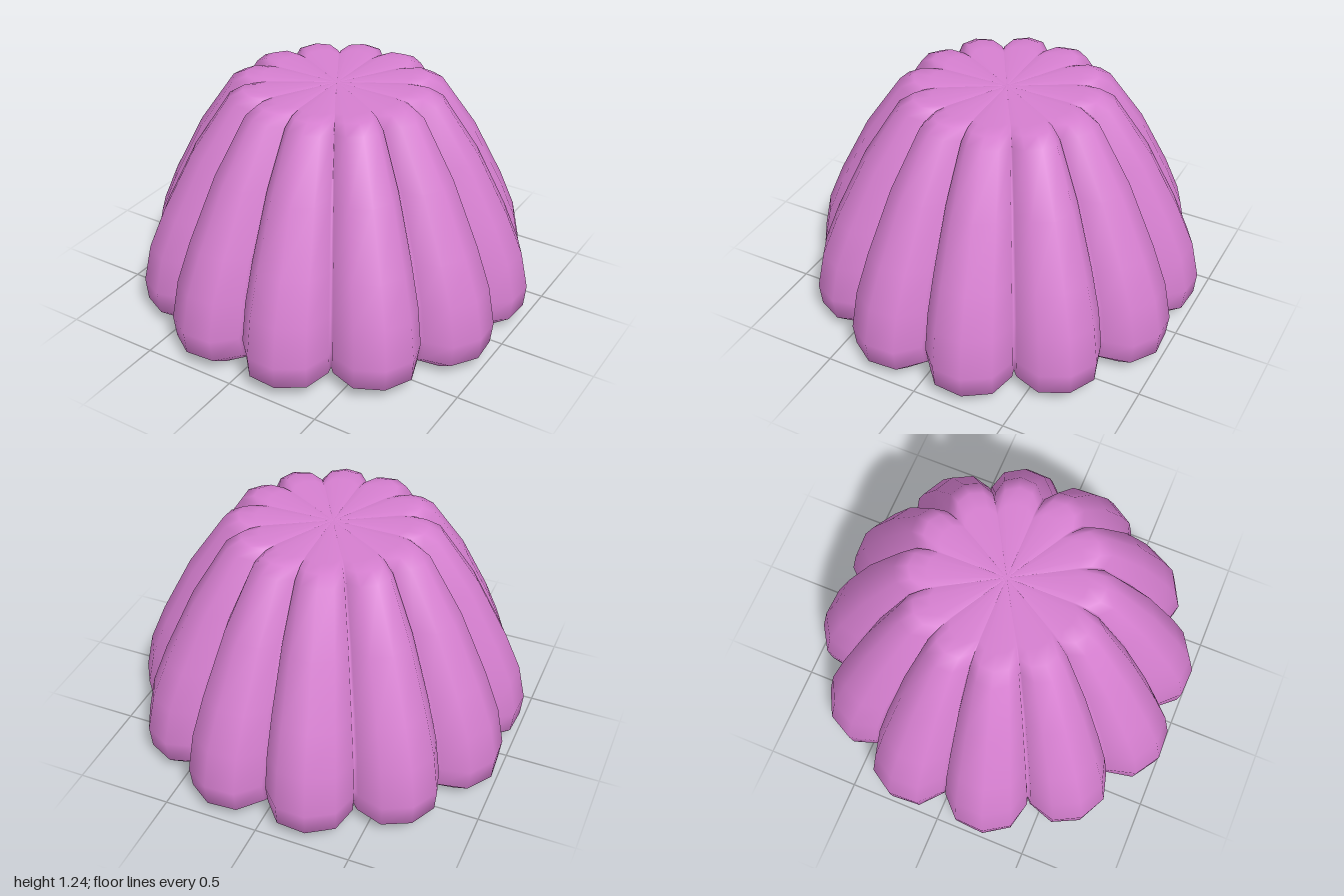
import * as THREE from 'three';

const LOBES = 12;

// Profile rows from underside to top: [ridge radius, ridge y, groove radius, groove y]
const PROFILE = [
  [0, 0.03, 0, 0.03],
  [0.45, 0.02, 0.42, 0.03],
  [0.74, 0.0, 0.62, 0.03],
  [0.93, 0.02, 0.75, 0.035],
  [1.025, 0.08, 0.82, 0.08],
  [1.036, 0.2, 0.85, 0.2],
  [0.994, 0.4, 0.815, 0.4],
  [0.908, 0.605, 0.745, 0.605],
  [0.745, 0.925, 0.61, 0.925],
  [0.554, 1.205, 0.455, 1.18],
  [0.48, 1.24, 0.39, 1.22],
  [0.39, 1.24, 0.33, 1.232],
  [0, 1.234, 0, 1.234],
];

// One lobe across its width: [angle from ridge in degrees, groove-to-ridge blend]
const LOBE = [[-15, 0], [-14.3, 0.22], [-8.5, 0.81], [0, 1], [8.5, 0.81], [14.3, 0.22]];

function flutedDome() {
  const columns = LOBES * LOBE.length;
  const positions = [];
  const index = [];
  PROFILE.forEach(([ridgeR, ridgeY, grooveR, grooveY], row) => {
    for (let c = 0; c < columns; c++) {
      const [offset, blend] = LOBE[c % LOBE.length];
      const degrees = Math.floor(c / LOBE.length) * (360 / LOBES) + 15 + offset;
      const angle = THREE.MathUtils.degToRad(degrees);
      const r = THREE.MathUtils.lerp(grooveR, ridgeR, blend);
      const y = THREE.MathUtils.lerp(grooveY, ridgeY, blend);
      positions.push(r * Math.sin(angle), y, r * Math.cos(angle));
      if (row === 0) continue;
      // Quad joining this row to the one below
      const next = (c + 1) % columns;
      const a = (row - 1) * columns + c, b = (row - 1) * columns + next;
      const d = row * columns + c, e = row * columns + next;
      if (row > 1) index.push(a, b, e);
      if (row < PROFILE.length - 1) index.push(a, e, d);
      if (row === 1) continue;
    }
  });
  const geometry = new THREE.BufferGeometry();
  geometry.setAttribute('position', new THREE.Float32BufferAttribute(positions, 3));
  geometry.setIndex(index);
  geometry.computeVertexNormals();
  return geometry;
}

export function createModel() {
  const group = new THREE.Group();
  group.name = 'flutedDome';
  const pink = new THREE.MeshStandardMaterial({ color: 0xd67fd0 });
  pink.name = 'orchid pink';
  const body = new THREE.Mesh(flutedDome(), pink);
  body.name = 'lobedBody';
  group.add(body);
  return group;
}
